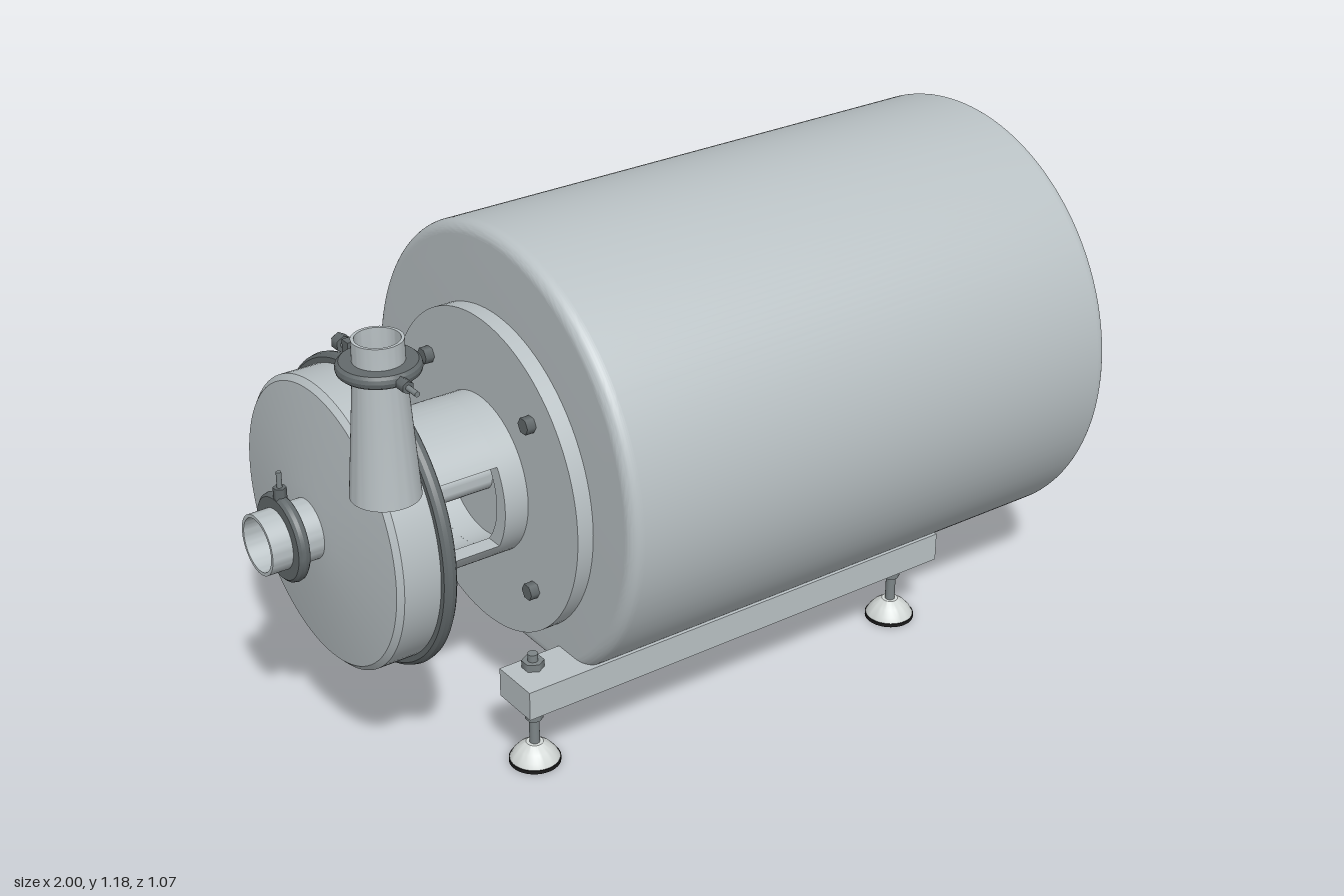
import * as THREE from 'three';
import { toCreasedNormals } from 'three/addons/utils/BufferGeometryUtils.js';

const mat = (name, color) => new THREE.MeshStandardMaterial({ name, color });

export function createModel() {
  const steel = mat('brushed steel', 0xb9c1c4);
  const bolt = mat('bolt grey', 0x7d8587);
  const dark = mat('clamp grey', 0x636a6c);
  const light = mat('foot grey', 0xd3d8d6);
  const rubber = mat('black rubber', 0x1a1a1a);
  const model = new THREE.Group();
  const AXIS = 0.61; // height of the pump shaft

  const add = (name, geo, material, x = 0, y = 0, z = 0, parent = model) => {
    const m = new THREE.Mesh(geo, material);
    m.name = name;
    m.position.set(x, y, z);
    parent.add(m);
    return m;
  };
  // Turned part about y; points are [radius, height], listed bottom to top on the outside
  const turned = (pts, n = 64) =>
    toCreasedNormals(new THREE.LatheGeometry(pts.map(p => new THREE.Vector2(...p)), n), 0.4);
  // Turned part about x; points are [radius, x]
  const turnedX = (pts, n = 64) => turned(pts, n).rotateZ(-Math.PI / 2);
  const hex = (r, h) => new THREE.CylinderGeometry(r, r, h, 6);
  const hexX = (r, h) => hex(r, h).rotateZ(Math.PI / 2);
  const rod = (r, h) => new THREE.CylinderGeometry(r, r, h, 24);
  // Closed hollow tube profile
  const tube = (ro, ri, a, b) => [[ri, a], [ro, a], [ro, b], [ri, b], [ri, a]];
  const disc = (r, a, b) => [[0, a], [r, a], [r, b], [0, b]];
  // Rounded clamp band profile
  const band = (ri, ro, w) => [[ri, -w], [ro - w * 0.6, -w], [ro - w * 0.15, -w * 0.6], [ro, 0],
    [ro - w * 0.15, w * 0.6], [ro - w * 0.6, w], [ri, w], [ri, -w]];

  // Motor shroud: round with a flat underside and rounded end edges
  const R = 0.534, a = Math.asin(0.46 / R), bev = 0.03;
  const outline = new THREE.Shape();
  outline.absarc(0, 0, R, -a, Math.PI + a, false);
  outline.closePath();
  const shroud = new THREE.ExtrudeGeometry(outline, {
    depth: 1.39 - 2 * bev, bevelThickness: bev, bevelSize: bev, bevelOffset: -bev,
    bevelSegments: 10, curveSegments: 96,
  });
  shroud.rotateY(Math.PI / 2);
  add('motorShroud', toCreasedNormals(shroud, 0.2), steel, -0.39 + bev, 0.65, 0);

  // Motor flange and its bolts
  add('motorFlange', turnedX(disc(0.385, -0.43, -0.38), 96), steel, 0, AXIS);
  for (const sy of [-1, 1]) for (const sz of [-1, 1]) {
    add('flangeBolt', hexX(0.02, 0.025), dark, -0.44, AXIS + sy * 0.21, sz * 0.21);
    add('backplateBolt', hexX(0.014, 0.022), dark, -0.699, AXIS + sy * 0.17, sz * 0.175);
  }

  // Adapter between motor and pump, open at both sides
  add('adapterFrontRing', turnedX(tube(0.19, 0.155, -0.715, -0.66)), steel, 0, AXIS);
  add('adapterRearRing', turnedX(tube(0.19, 0.155, -0.49, -0.425)), steel, 0, AXIS);
  const o = Math.asin(0.1 / 0.19), i = Math.asin(0.1 / 0.155);
  for (const turn of [0, Math.PI]) {
    const s = new THREE.Shape();
    s.absarc(0, 0, 0.19, o + turn, Math.PI - o + turn, false);
    s.absarc(0, 0, 0.155, Math.PI - i + turn, i + turn, true);
    s.closePath();
    const g = new THREE.ExtrudeGeometry(s, { depth: 0.17, bevelEnabled: false, curveSegments: 32 });
    add('adapterBridge', toCreasedNormals(g.rotateY(Math.PI / 2), 0.4), steel, -0.66, AXIS);
  }
  add('shaft', turnedX(disc(0.043, -0.72, -0.42), 32), steel, 0, AXIS);

  // Pump casing, back plate and the big clamp
  add('pumpCasing', turnedX([[0, -0.875], [0.1, -0.875], [0.325, -0.847], [0.338, -0.835],
    [0.338, -0.735], [0, -0.735]], 96), steel, 0, AXIS);
  add('backplate', turnedX(disc(0.345, -0.738, -0.711), 96), steel, 0, AXIS);
  add('casingClamp', turnedX(band(0.325, 0.36, 0.016), 96), dark, -0.73, AXIS);
  for (const s of [-1, 1]) {
    add('clampLug', new THREE.BoxGeometry(0.028, 0.075, 0.025), dark, -0.73, 0.975, s * 0.03);
    add('clampNut', hex(0.02, 0.025).rotateX(Math.PI / 2), dark, -0.73, 0.99, s * 0.07);
  }
  add('clampScrew', rod(0.009, 0.19).rotateX(Math.PI / 2), bolt, -0.73, 0.99, 0);

  // Inlet pipe with clamp and wing nut
  add('inletPipe', turnedX(tube(0.07, 0.062, -1, -0.87)), steel, 0, AXIS);
  add('inletClamp', turnedX(band(0.068, 0.103, 0.014)), dark, -0.937, AXIS);
  add('inletClampNut', hex(0.015, 0.03), dark, -0.937, AXIS + 0.108, 0);
  add('inletClampScrew', rod(0.006, 0.07), bolt, -0.937, AXIS + 0.125, 0);

  // Outlet cone, pipe and clamp
  const outlet = new THREE.Group();
  outlet.name = 'outlet';
  outlet.position.set(-0.825, 0, 0.262);
  model.add(outlet);
  add('outletCone', turned([[0, 0.8], [0.076, 0.8], [0.055, 1.09], [0.055, 1.16], [0.048, 1.16],
    [0.048, 1.09], [0.06, 0.85], [0, 0.85]]), steel, 0, 0, 0, outlet);
  add('outletClamp', turned(band(0.053, 0.09, 0.014)), dark, 0, 1.098, 0, outlet);
  add('outletClampNut', hex(0.014, 0.03).rotateX(Math.PI / 2), dark, 0, 1.095, 0.1, outlet);
  add('outletClampScrew', rod(0.006, 0.07).rotateX(Math.PI / 2), bolt, 0, 1.095, 0.115, outlet);

  // Base rails on levelling feet
  for (const side of [-1, 1]) {
    add('baseRail', new THREE.BoxGeometry(1.19, 0.072, 0.122), steel, 0.045, 0.216, side * 0.304);
    for (const x of [-0.485, 0.575]) {
      const foot = new THREE.Group();
      foot.name = 'levellingFoot';
      foot.position.set(x, 0, side * 0.28);
      model.add(foot);
      add('footPad', turned(disc(0.06, 0, 0.009), 40), rubber, 0, 0, 0, foot);
      add('footDome', turned([[0, 0.009], [0.058, 0.009], [0.052, 0.021], [0.039, 0.036],
        [0.02, 0.05], [0, 0.05]], 40), light, 0, 0, 0, foot);
      add('footRod', rod(0.012, 0.15), bolt, 0, 0.12, 0, foot);
      add('lockNut', hex(0.021, 0.015), bolt, 0, 0.121, 0, foot);
      add('railNut', hex(0.024, 0.017), bolt, 0, 0.171, 0, foot);
      if (x < 0) {
        add('topNut', hex(0.026, 0.018), bolt, 0, 0.261, 0, foot);
        add('topRod', rod(0.012, 0.04), bolt, 0, 0.268, 0, foot);
      }
    }
  }
  return model;
}
